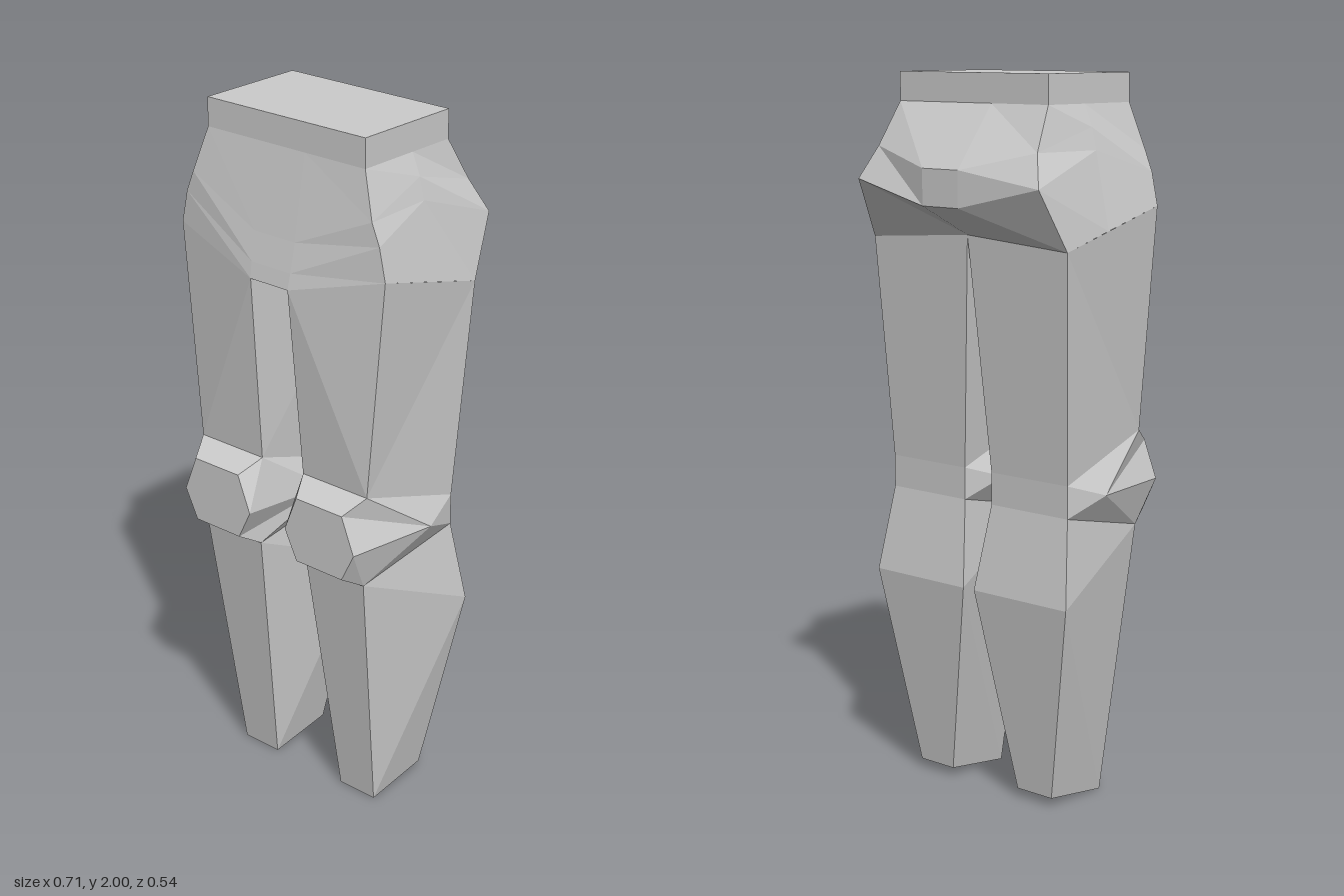
import * as THREE from 'three';

const material = new THREE.MeshStandardMaterial({
  color: 0xcccccc, flatShading: true, side: THREE.DoubleSide,
});

// Faceted mesh from polygons, each a list of corner points in anticlockwise order
function facets(name, polygons, mirror = 1) {
  const out = [];
  for (const poly of polygons) {
    for (let i = 1; i < poly.length - 1; i++) {
      const tri = [poly[0], poly[i], poly[i + 1]];
      if (mirror < 0) tri.reverse();
      for (const [x, y, z] of tri) out.push(x * mirror, y, z);
    }
  }
  const geometry = new THREE.BufferGeometry();
  geometry.setAttribute('position', new THREE.Float32BufferAttribute(out, 3));
  geometry.computeVertexNormals();
  const mesh = new THREE.Mesh(geometry, material);
  mesh.name = name;
  return mesh;
}

// Full loop from its left half, which runs front centre to back centre
const fullRing = (half) => [...half, ...half.map(([x, y, z]) => [-x, y, z]).reverse()];

function skin(rings) {
  const faces = [];
  for (let r = 0; r < rings.length - 1; r++) {
    const a = rings[r], b = rings[r + 1], n = a.length;
    for (let i = 0; i < n; i++) {
      const j = (i + 1) % n;
      faces.push([a[i], b[i], b[j], a[j]]);
    }
  }
  return faces;
}

function waistAndHips() {
  const band = (y) => fullRing([
    [0.07, y, 0.185], [0.27, y, 0.185], [0.27, y, 0], [0.27, y, -0.145], [0.07, y, -0.145],
  ]);
  // Front centre, front corner, side, back corner, back centre
  const upper = fullRing([
    [0.07, 1.69, 0.226], [0.31, 1.795, 0.205], [0.295, 1.86, 0], [0.29, 1.8, -0.21], [0.065, 1.75, -0.27],
  ]);
  const middle = fullRing([
    [0.068, 1.61, 0.242], [0.335, 1.735, 0.205], [0.31, 1.8, 0], [0.33, 1.71, -0.25], [0.065, 1.65, -0.27],
  ]);
  const lower = fullRing([
    [0.065, 1.565, 0.25], [0.355, 1.645, 0.205], [0.355, 1.59, 0], [0.355, 1.545, -0.165], [0, 1.57, -0.165],
  ]);
  const crotch = [[0.065, 1.565, 0.25], [-0.065, 1.565, 0.25], [0, 1.57, -0.165]];
  return [
    facets('waistband', [band(2), ...skin([band(2), band(1.92)])]),
    facets('hips', [...skin([band(1.92), upper, middle, lower]), crotch]),
  ];
}

function leg(mirror, label) {
  // Outer and inner edges of the leg: f = front, b = back
  const outer = {
    hipF: [0.355, 1.645, 0.205], hipB: [0.355, 1.545, -0.165],
    kneeTopF: [0.3, 1.025, 0.205], kneeTopB: [0.325, 0.92, -0.125],
    kneeSide: [0.355, 0.88, 0],
    kneeLowF: [0.29, 0.757, 0.205], kneeLowB: [0.325, 0.83, -0.125],
    calfB: [0.355, 0.59, -0.165],
    ankleF: [0.25, 0, 0.105], ankleB: [0.25, 0.025, -0.1],
    padTop: [0.268, 0.985, 0.27], padSide: [0.31, 0.88, 0.27], padLow: [0.268, 0.795, 0.27],
  };
  // The inner edge mirrors the outer one about the leg's axis, except at the hip
  const inner = {};
  for (const [key, [x, y, z]] of Object.entries(outer)) inner[key] = [0.375 - x, y, z];
  inner.hipF = [0.065, 1.565, 0.25];
  inner.hipB = [0, 1.57, -0.165];

  const thighSide = [
    ['hipF', 'kneeTopF', 'hipB'], ['kneeTopF', 'kneeTopB', 'hipB'],
    ['kneeTopF', 'kneeSide', 'kneeTopB'], ['kneeSide', 'kneeLowB', 'kneeTopB'],
  ];
  const shinSide = [
    ['kneeSide', 'kneeLowF', 'kneeLowB'], ['kneeLowF', 'calfB', 'kneeLowB'],
    ['kneeLowF', 'ankleF', 'calfB'], ['ankleF', 'ankleB', 'calfB'],
  ];
  const padRim = [
    ['padTop', 'padSide', 'kneeSide', 'kneeTopF'], ['padSide', 'padLow', 'kneeLowF', 'kneeSide'],
  ];
  const bothSides = (faces) => faces.flatMap((f) => [
    f.map((k) => outer[k]), f.map((k) => inner[k]).reverse(),
  ]);
  const front = (top, low) => [inner[top], inner[low], outer[low], outer[top]];
  const back = (top, low) => [outer[top], outer[low], inner[low], inner[top]];

  const group = new THREE.Group();
  group.name = label;
  group.add(
    facets('thigh', [
      ...bothSides(thighSide),
      front('hipF', 'kneeTopF'), back('hipB', 'kneeTopB'), back('kneeTopB', 'kneeLowB'),
    ], mirror),
    facets('kneePad', [
      ...bothSides(padRim),
      front('kneeTopF', 'padTop'), front('padLow', 'kneeLowF'),
      front('padTop', 'padSide'), front('padSide', 'padLow'),
    ], mirror),
    // The ankle end is left open
    facets('shin', [
      ...bothSides(shinSide),
      front('kneeLowF', 'ankleF'), back('kneeLowB', 'calfB'), back('calfB', 'ankleB'),
    ], mirror),
  );
  return group;
}

export function createModel() {
  const model = new THREE.Group();
  model.name = 'trousers';
  model.add(...waistAndHips(), leg(1, 'leftLeg'), leg(-1, 'rightLeg'));
  return model;
}
